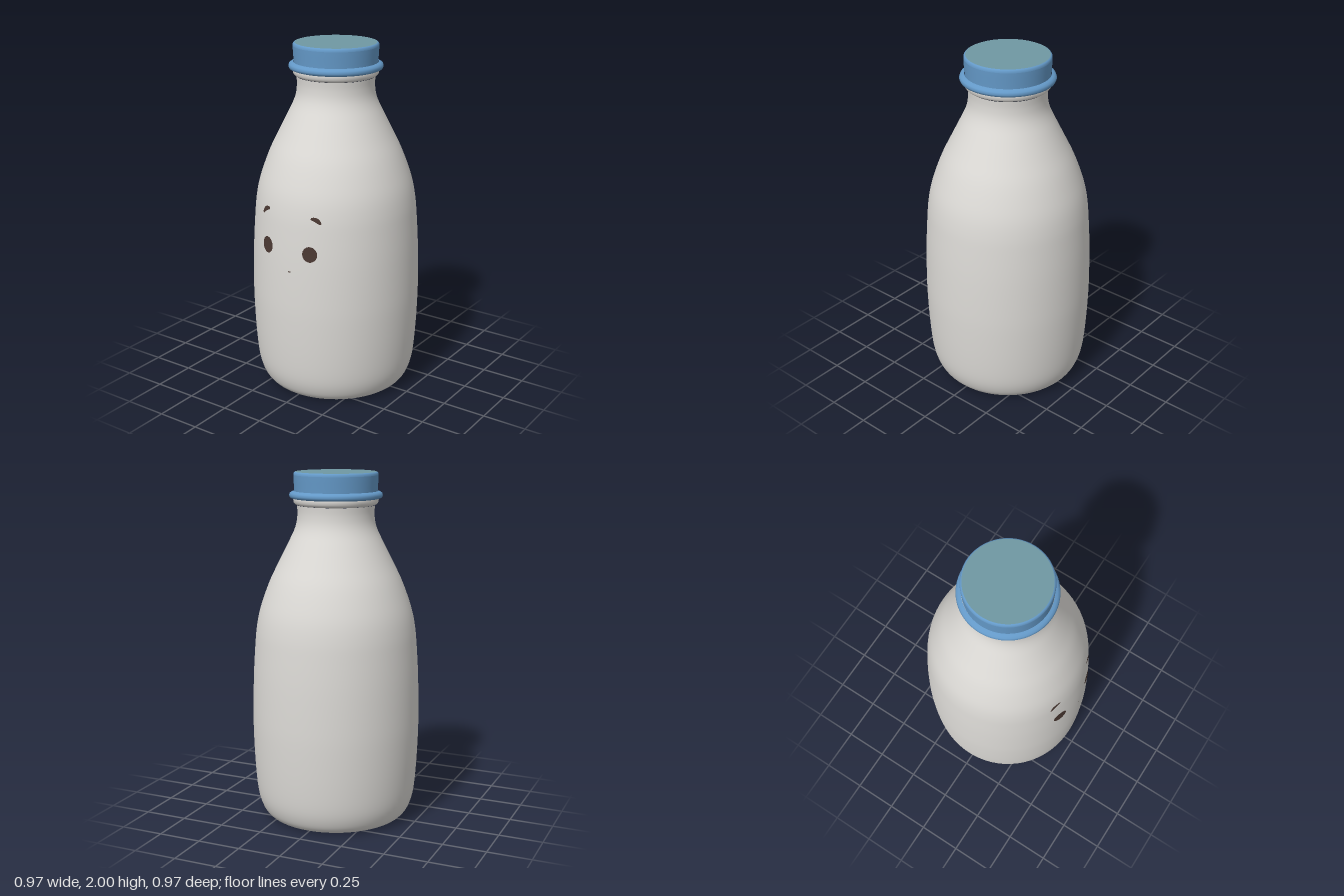
import * as THREE from 'three';

const material = (name, color, side = THREE.FrontSide) => {
  const m = new THREE.MeshStandardMaterial({ color, side });
  m.name = name;
  return m;
};

// Radius and height up the bottle, from base edge to neck
const BODY = [
  [0.37, 0.004], [0.405, 0.02], [0.436, 0.065], [0.46, 0.15], [0.474, 0.3], [0.482, 0.5],
  [0.482, 0.65], [0.476, 0.85], [0.465, 1.02], [0.455, 1.12], [0.438, 1.21], [0.41, 1.3],
  [0.371, 1.4], [0.322, 1.5], [0.272, 1.6], [0.238, 1.67], [0.222, 1.72], [0.217, 1.77], [0.219, 1.815],
];
const CURVE = new THREE.SplineCurve(BODY.map(([r, y]) => new THREE.Vector2(r, y))).getPoints(90);

function radiusAt(y) {
  const i = CURVE.findIndex((p) => p.y >= y);
  const a = CURVE[i - 1], b = CURVE[i];
  return a.x + ((b.x - a.x) * (y - a.y)) / (b.y - a.y);
}

function createModel() {
  const model = new THREE.Group();
  model.name = 'milkBottle';
  const glass = material('milk white', 0xdcdad6);
  const capBlue = material('cap blue', 0x6499c8);
  const capTeal = material('cap top teal', 0x6f98a3);
  const dark = material('face brown', 0x4a3832, THREE.DoubleSide);

  const add = (name, geometry, mat) => {
    const mesh = new THREE.Mesh(geometry, mat);
    mesh.name = name;
    model.add(mesh);
    return mesh;
  };
  const lathe = (name, points, mat) =>
    add(name, new THREE.LatheGeometry(points.map(([r, y]) => new THREE.Vector2(r, y)), 72), mat);

  // Bottle body, flat base and neck lip
  lathe('body', CURVE.map((p) => [p.x, p.y]), glass);
  const base = add('base', new THREE.CircleGeometry(0.371, 72), glass);
  base.rotation.x = Math.PI / 2;
  base.position.y = 0.003;
  lathe('neckLip', [[0.215, 1.815], [0.23, 1.822], [0.238, 1.832], [0.24, 1.85], [0.235, 1.866]], glass);

  // Cap: flared rim, straight wall, rounded top edge and disc
  lathe('capRim', [[0.215, 1.855], [0.245, 1.853], [0.258, 1.858], [0.263, 1.87], [0.259, 1.883],
    [0.248, 1.89], [0.236, 1.894]], capBlue);
  lathe('capWall', [[0.234, 1.885], [0.235, 1.92], [0.237, 1.95], [0.238, 1.982]], capBlue);
  lathe('capEdge', [[0.238, 1.982], [0.237, 1.991], [0.232, 1.998], [0.225, 2]], capBlue);
  const top = add('capTop', new THREE.CircleGeometry(0.228, 72), capTeal);
  top.rotation.x = -Math.PI / 2;
  top.position.y = 2;

  // Face details: flat outlines laid on the front of the bottle
  const decal = (name, points) => {
    const geometry = new THREE.ShapeGeometry(new THREE.Shape(points));
    const p = geometry.attributes.position;
    for (let i = 0; i < p.count; i++) {
      const r = radiusAt(p.getY(i));
      p.setZ(i, Math.sqrt(r * r - p.getX(i) ** 2) + 0.004);
    }
    geometry.computeVertexNormals();
    add(name, geometry, dark);
  };
  const oval = (name, x, y, rx, ry) =>
    decal(name, new THREE.EllipseCurve(x, y, rx, ry).getPoints(32).slice(0, -1));

  // Tapered arc through three points
  const brow = (name, a, b, c, width) => {
    const curve = new THREE.SplineCurve([a, b, c].map(([x, y]) => new THREE.Vector2(x, y)));
    const upper = [], lower = [];
    for (let i = 0; i <= 12; i++) {
      const t = i / 12, p = curve.getPoint(t), d = curve.getTangent(t);
      const w = width * (0.35 + 0.65 * Math.sin(Math.PI * t));
      upper.push(new THREE.Vector2(p.x - d.y * w, p.y + d.x * w));
      lower.unshift(new THREE.Vector2(p.x + d.y * w, p.y - d.x * w));
    }
    decal(name, [...lower, ...upper]);
  };

  oval('rightEye', -0.148, 0.923, 0.042, 0.046);
  oval('leftEye', 0.138, 0.923, 0.041, 0.044);
  oval('mouth', 0.02, 0.806, 0.009, 0.004);
  brow('rightBrow', [-0.2, 1.093], [-0.176, 1.122], [-0.14, 1.133], 0.012);
  brow('leftBrow', [0.136, 1.124], [0.166, 1.118], [0.19, 1.097], 0.012);

  return model;
}

export { createModel };
